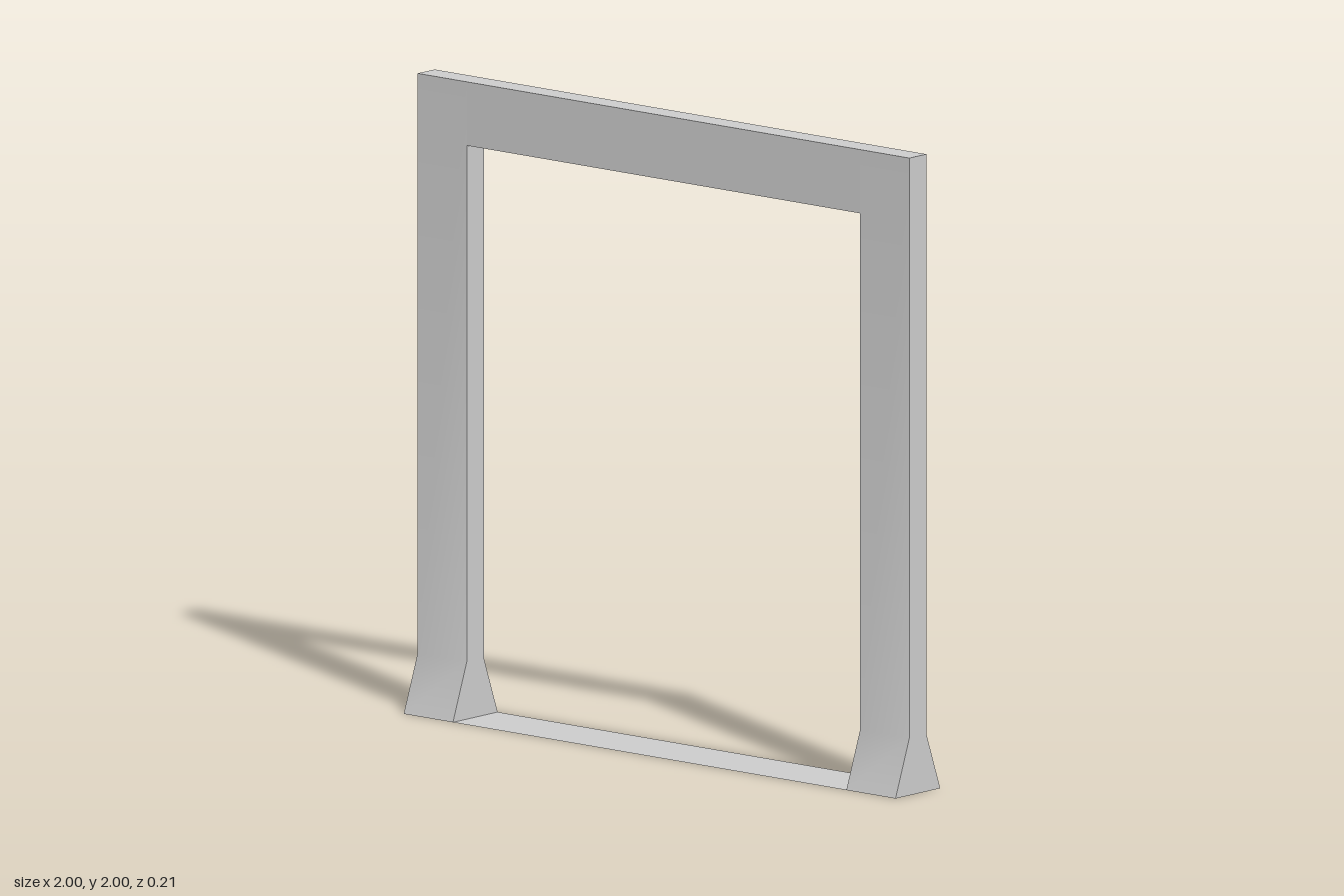
import * as THREE from 'three';
import { toCreasedNormals } from 'three/addons/utils/BufferGeometryUtils.js';

const HALF_SPAN = 0.8;   // half the clear opening
const WIDTH = 0.2;       // post and beam width
const HEIGHT = 2;
const HALF_DEPTH = 0.04; // half thickness of the frame
const HALF_FOOT = 0.105; // half depth of the flared foot
const FLARE = 0.18;      // height where the flare starts

export function createModel() {
  const group = new THREE.Group();
  const grey = new THREE.MeshStandardMaterial({ color: 0xcccccc });
  const sheet = new THREE.MeshStandardMaterial({ color: 0xcccccc, side: THREE.DoubleSide });

  const add = (name, geometry, material, x, y) => {
    const mesh = new THREE.Mesh(geometry, material);
    mesh.name = name;
    mesh.position.set(x, y, 0);
    group.add(mesh);
  };

  // Side profile of a post: straight above, flaring out to the foot
  const profile = new THREE.Shape([
    [-HALF_FOOT, 0], [HALF_FOOT, 0], [HALF_DEPTH, FLARE],
    [HALF_DEPTH, HEIGHT], [-HALF_DEPTH, HEIGHT], [-HALF_DEPTH, FLARE],
  ].map(([z, y]) => new THREE.Vector2(z, y)));
  const extruded = new THREE.ExtrudeGeometry(profile, { depth: WIDTH, bevelEnabled: false });
  extruded.translate(0, 0, -WIDTH / 2).rotateY(Math.PI / 2);
  const post = toCreasedNormals(extruded, 0.6); // soft bend into the flare, sharp corners

  // Posts
  const postX = HALF_SPAN + WIDTH / 2;
  add('leftPost', post, grey, postX, 0);
  add('rightPost', post, grey, -postX, 0);

  // Top beam between the posts
  add('topBeam', new THREE.BoxGeometry(HALF_SPAN * 2, WIDTH, HALF_DEPTH * 2), grey, 0, HEIGHT - WIDTH / 2);

  // Thin floor strip joining the feet
  const strip = new THREE.PlaneGeometry(HALF_SPAN * 2, HALF_FOOT * 2).rotateX(-Math.PI / 2);
  add('floorStrip', strip, sheet, 0, 0);

  return group;
}
